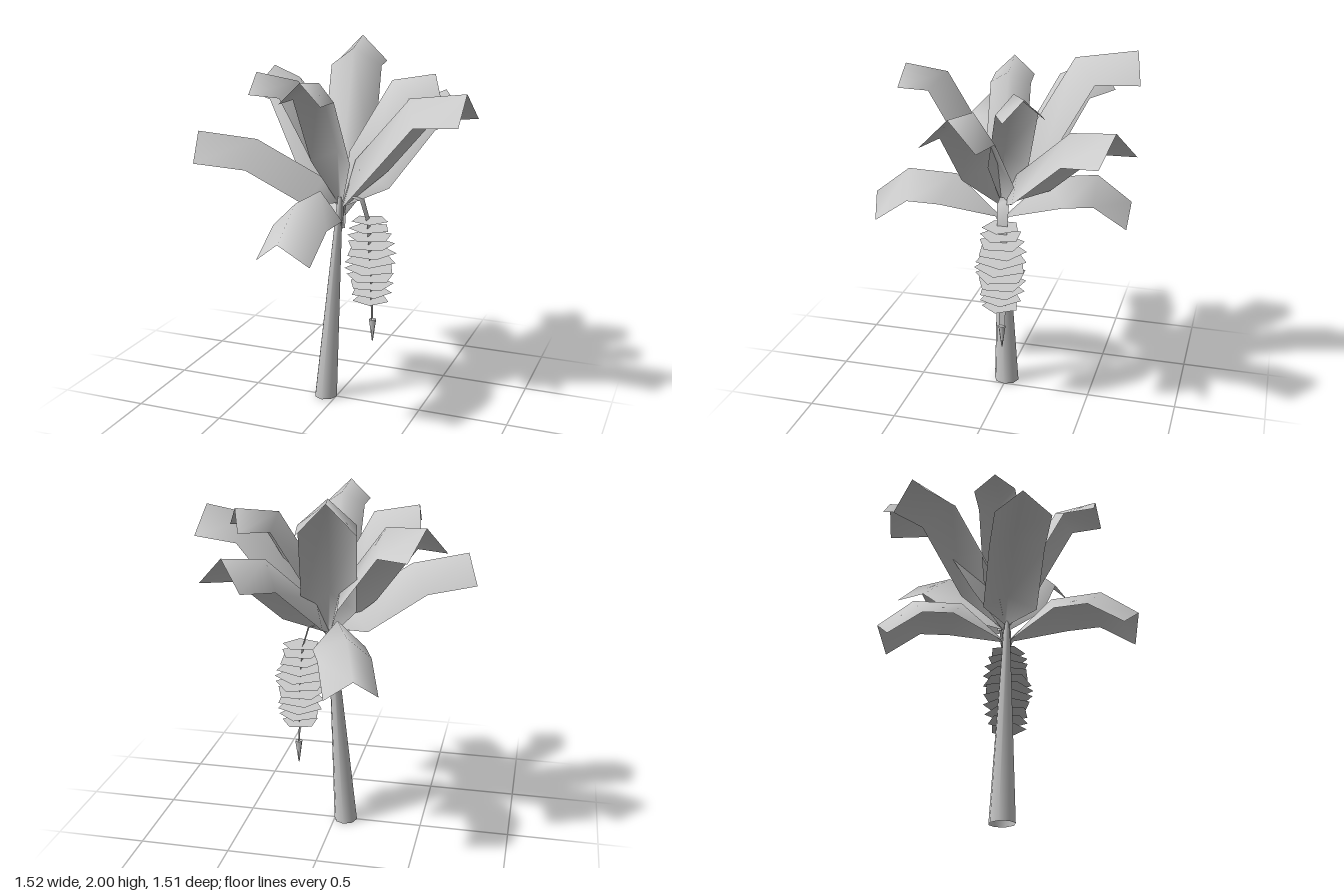
import * as THREE from 'three';

const material = new THREE.MeshStandardMaterial({ color: 0xcccccc, side: THREE.DoubleSide });

function add(group, name, geometry) {
  const mesh = new THREE.Mesh(geometry, material);
  mesh.name = name;
  group.add(mesh);
}

// Surface through rows of points, all rows the same length
function gridSurface(rows) {
  const n = rows[0].length;
  const index = [];
  for (let i = 0; i < rows.length - 1; i++) {
    for (let j = 0; j < n - 1; j++) {
      const a = i * n + j, b = a + n;
      index.push(a, a + 1, b, b, a + 1, b + 1);
    }
  }
  const geometry = new THREE.BufferGeometry().setFromPoints(rows.flat());
  geometry.setIndex(index);
  geometry.computeVertexNormals();
  return geometry;
}

// Leaf with a raised midrib on a narrow stem: rib points are [fraction of reach, height]
function leafGeometry({ end, rib, w, drop }) {
  const root = new THREE.Vector3(0.03, 0, 0);
  const reach = new THREE.Vector3(end[0], 0, end[1]).sub(root);
  const length = reach.length();
  const out = reach.clone().normalize();
  const side = new THREE.Vector3(out.z, 0, -out.x);
  const pts = [[0, 1.02], ...rib].map(([t, y]) => new THREE.Vector2(t * length, y));
  const last = pts.length - 1;
  const rows = pts.map((p, i) => {
    const tangent = pts[Math.min(i + 1, last)].clone().sub(pts[Math.max(i - 1, 0)]).normalize();
    const k = i < 2 ? 0.1 : 1;
    const lean = i === last ? 0.6 : 1;
    const centre = root.clone().addScaledVector(out, p.x).setY(p.y);
    const edge = (s) => centre.clone()
      .addScaledVector(side, s * w * k)
      .addScaledVector(out, tangent.y * drop * k * lean)
      .add(new THREE.Vector3(0, -tangent.x * drop * k, 0));
    return [edge(1), centre, edge(-1)];
  });
  return gridSurface(rows);
}

const leaves = [
  // large leaves
  { end: [-0.1, -0.685], rib: [[0, 1.13], [0.06, 1.38], [0.54, 1.96], [1, 2.0]], w: 0.145, drop: 0.15 },
  { end: [0.42, -0.67], rib: [[0.01, 1.15], [0.14, 1.34], [0.62, 1.65], [1, 1.71]], w: 0.147, drop: 0.15 },
  { end: [0.735, 0.075], rib: [[0.01, 1.15], [0.12, 1.41], [0.56, 1.765], [1, 1.81]], w: 0.147, drop: 0.15 },
  { end: [-0.535, -0.39], rib: [[0.01, 1.15], [0.12, 1.42], [0.6, 1.8], [1, 1.84]], w: 0.148, drop: 0.15 },
  { end: [-0.69, 0.27], rib: [[0.01, 1.17], [0.12, 1.3], [0.59, 1.515], [1, 1.56]], w: 0.147, drop: 0.15 },
  // small upright leaves
  { end: [0.02, 0.535], rib: [[0, 1.16], [0.1, 1.46], [0.56, 1.86], [1, 1.89]], w: 0.112, drop: 0.11 },
  { end: [0.48, -0.23], rib: [[0, 1.16], [0.09, 1.45], [0.54, 1.83], [1, 1.86]], w: 0.11, drop: 0.11 },
  { end: [-0.44, 0.055], rib: [[0, 1.16], [0.05, 1.43], [0.5, 1.82], [1, 1.86]], w: 0.112, drop: 0.11 },
  // low drooping leaves
  { end: [-0.015, 0.75], rib: [[0.03, 1.08], [0.35, 1.29], [0.73, 1.29], [1, 1.13]], w: 0.15, drop: 0.145 },
  { end: [-0.23, -0.67], rib: [[0.03, 1.08], [0.35, 1.29], [0.73, 1.29], [1, 1.125]], w: 0.14, drop: 0.145 },
];

export function createModel() {
  const model = new THREE.Group();
  model.name = 'fruitTree';

  // Leaning trunk, tapered to the crown, open at the foot
  const height = 1.2;
  const trunk = new THREE.CylinderGeometry(0.016, 0.072, height, 8, 1, true);
  trunk.translate(0, height / 2, 0);
  const pos = trunk.attributes.position;
  for (let i = 0; i < pos.count; i++) {
    const y = pos.getY(i);
    pos.setX(i, pos.getX(i) * 0.93 - 0.063 + 0.074 * y);
    pos.setZ(i, pos.getZ(i) + 0.004 * y);
  }
  add(model, 'trunk', trunk);

  // Crown of leaves
  const crown = new THREE.Group();
  crown.name = 'crown';
  model.add(crown);
  for (const leaf of leaves) add(crown, 'leaf', leafGeometry(leaf));

  // Hanging ribbon stalk: [x, y, z of one edge, z of the other]
  const stalk = [
    [0.03, 1.14, -0.005, -0.05], [0.08, 1.2, 0, -0.065], [0.14, 1.18, 0, -0.065],
    [0.175, 1.06, -0.01, -0.065], [0.195, 0.75, -0.022, -0.063], [0.2, 0.48, -0.025, -0.06],
  ];
  const bunch = new THREE.Group();
  bunch.name = 'fruitBunch';
  model.add(bunch);
  add(bunch, 'bunchStalk', gridSurface(stalk.map(([x, y, a, b]) =>
    [new THREE.Vector3(x, y, a), new THREE.Vector3(x, y, b)])));

  // Stacked flat tiers of fruit, each turned from the last
  const tiers = 11;
  for (let i = 0; i < tiers; i++) {
    const t = i / (tiers - 1);
    const radius = 0.105 + 0.042 * Math.sin(Math.PI * t);
    const tier = new THREE.CircleGeometry(radius, 5);
    tier.rotateX(-Math.PI / 2);
    tier.rotateY(i * 1.0);
    tier.translate(0.185 + 0.01 * t, 1.07 - 0.46 * t, -0.035);
    add(bunch, 'fruitTier', tier);
  }

  // Pointed flower bud at the bottom
  const bud = new THREE.CylinderGeometry(0.021, 0.003, 0.13, 6);
  bud.translate(0.203, 0.425, -0.043);
  add(bunch, 'flowerBud', bud);

  return model;
}
